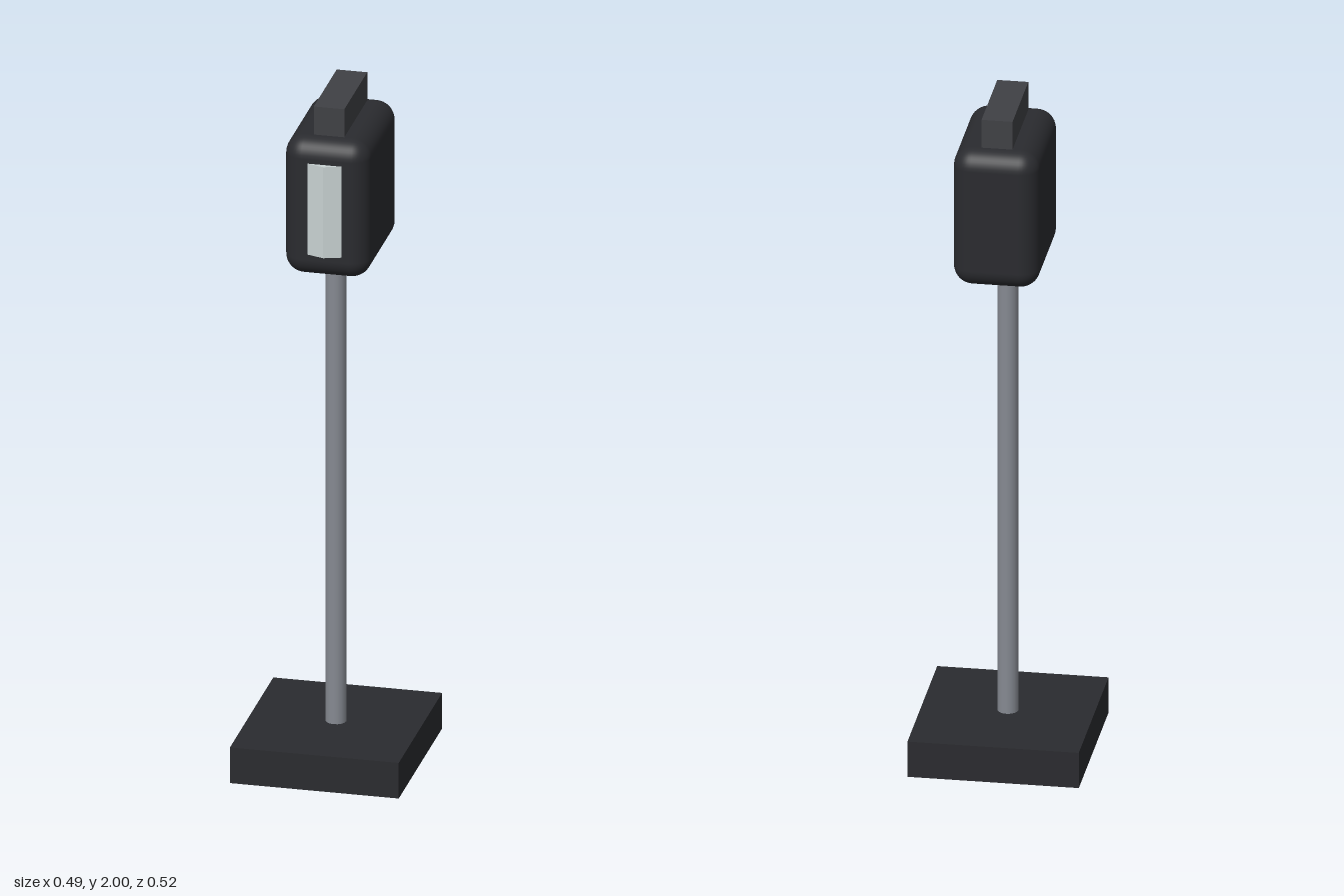
import * as THREE from 'three';
import { RoundedBoxGeometry } from 'three/addons/geometries/RoundedBoxGeometry.js';

export function createModel() {
  const group = new THREE.Group();
  const add = (name, geometry, color, x, y, z, flatShading = false) => {
    const mesh = new THREE.Mesh(geometry, new THREE.MeshStandardMaterial({ color, flatShading }));
    mesh.name = name;
    mesh.position.set(x, y, z);
    group.add(mesh);
  };

  // Square foot and upright
  add('base', new THREE.BoxGeometry(0.486, 0.108, 0.524), 0x2a2b2f, 0, 0.054, 0);
  add('pole', new THREE.CylinderGeometry(0.03, 0.03, 1.46, 16), 0x868a92, 0, 0.81, 0);

  // Rounded housing, set back from the pole axis
  add('housing', new RoundedBoxGeometry(0.244, 0.415, 0.383, 5, 0.055), 0x2a2b2f, 0, 1.7075, -0.0535);

  // Faceted lens, only its front ridge emerging from the housing
  add('lens', new THREE.CylinderGeometry(0.09, 0.09, 0.276, 10), 0xc8d2d2, 0, 1.71, 0.064, true);

  // Block on top
  add('topBlock', new THREE.BoxGeometry(0.088, 0.095, 0.277), 0x404145, 0, 1.9525, -0.0545);

  return group;
}
